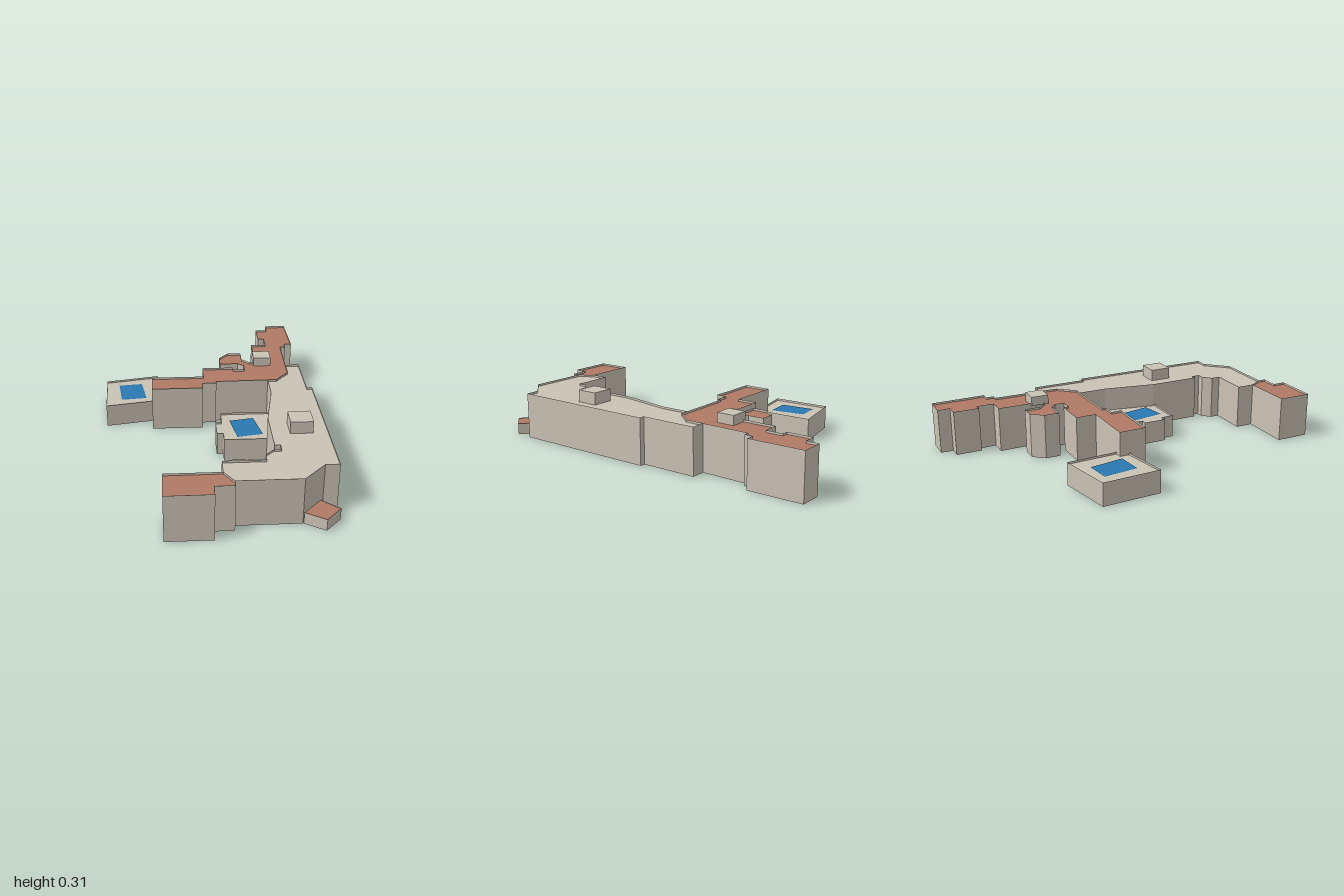
import * as THREE from 'three';

const mat = (name, color, side = THREE.DoubleSide) => {
  const m = new THREE.MeshStandardMaterial({ color, side });
  m.name = name;
  return m;
};

// Flat horizontal polygon at height y from an [x, z] outline
function flat(points, y) {
  const shape = new THREE.Shape(points.map(([x, z]) => new THREE.Vector2(x, -z)));
  return new THREE.ShapeGeometry(shape).rotateX(-Math.PI / 2).translate(0, y, 0);
}

// Open wall strip following a closed [x, z] outline, facing outwards
function wallStrip(points, height) {
  const outline = points.map(([x, z]) => new THREE.Vector2(x, -z));
  if (THREE.ShapeUtils.isClockWise(outline)) outline.reverse();
  const pos = [];
  outline.forEach((a, i) => {
    const b = outline[(i + 1) % outline.length];
    const quad = [[a, 0], [b, 0], [b, height], [a, 0], [b, height], [a, height]];
    for (const [p, y] of quad) pos.push(p.x, y, -p.y);
  });
  const g = new THREE.BufferGeometry();
  g.setAttribute('position', new THREE.Float32BufferAttribute(pos, 3));
  g.computeVertexNormals();
  return g;
}

export function createModel() {
  const group = new THREE.Group();
  const wall = mat('wall beige', 0xcbc2b5);
  const stone = mat('roof beige', 0xc9c3b4);
  const clay = mat('roof terracotta', 0xb07a66);
  const water = mat('skylight blue', 0x2a78b2);

  const add = (name, geometry, material, parent = group) => {
    const m = new THREE.Mesh(geometry, material);
    m.name = name;
    parent.add(m);
  };

  const TALL = 0.255, LOW = 0.13, PARAPET = 0.012;

  // Hollow block: walls rising slightly above a recessed roof
  const block = (name, points, height, roofMat, parapet = PARAPET) => {
    const g = new THREE.Group();
    g.name = name;
    add(name + 'Walls', wallStrip(points, height), wall, g);
    add(name + 'Roof', flat(points, height - parapet), roofMat, g);
    group.add(g);
  };

  // Long main wing
  block('mainWing', [
    [0.48, -0.38], [0.56, -0.38], [0.56, -0.065], [0.59, -0.065], [0.59, 0.77],
    [0.515, 0.77], [0.40, 0.89], [0.07, 0.89], [0.02, 0.81], [0.02, 0.71],
    [0.24, 0.71], [0.24, 0.66], [0.285, 0.615], [0.325, 0.615], [0.325, 0.57],
    [0.295, 0.57], [0.295, 0.28], [0.35, -0.02], [0.35, -0.18], [0.40, -0.18],
    [0.48, -0.275],
  ], TALL, stone);

  // Stepped back wing with its side arm and bay
  block('backWing', [
    [0.43, -1], [0.555, -1], [0.56, -0.695], [0.515, -0.695], [0.515, -0.65],
    [0.485, -0.65], [0.48, -0.275], [0.40, -0.18], [0.05, -0.175], [0.05, -0.155],
    [-0.03, -0.155], [-0.03, -0.095], [-0.32, -0.095], [-0.32, -0.245], [-0.02, -0.245],
    [-0.02, -0.36], [0.16, -0.36], [0.16, -0.33], [0.23, -0.33], [0.23, -0.385],
    [0.195, -0.415], [0.09, -0.415], [0.09, -0.50], [0.145, -0.565], [0.225, -0.565],
    [0.225, -0.475], [0.27, -0.43], [0.305, -0.43], [0.305, -0.69], [0.395, -0.69],
    [0.395, -0.785], [0.36, -0.785], [0.36, -0.93], [0.43, -0.93],
  ], TALL, clay);

  // Front end wing
  block('frontWing', [
    [-0.27, 0.81], [0.02, 0.81], [0.07, 0.89], [0.07, 0.93], [-0.03, 0.93],
    [-0.03, 1], [-0.27, 1],
  ], TALL, clay);

  // Low pavilions with roof skylights
  block('sidePavilion', [[-0.595, -0.47], [-0.29, -0.53], [-0.28, -0.2], [-0.585, -0.145]], LOW, stone);
  block('courtPavilion', [
    [0.065, -0.02], [0.35, -0.02], [0.295, 0.285], [0.065, 0.285], [0.065, 0.215],
    [0.03, 0.215], [0.03, 0.085], [0.065, 0.085],
  ], LOW, stone);
  const skyY = LOW - PARAPET + 0.004;
  add('sideSkylight', flat([[-0.52, -0.425], [-0.385, -0.44], [-0.355, -0.25], [-0.5, -0.235]], skyY), water);
  add('courtSkylight', flat([[0.11, 0.06], [0.245, 0.035], [0.28, 0.22], [0.14, 0.245]], skyY), water);

  // Corner entrance porch
  block('porch', [[0.5, 0.785], [0.588, 0.865], [0.505, 0.955], [0.405, 0.89]], 0.063, clay, 0.003);

  // Rooftop plant rooms
  const plantRoom = (name, x0, x1, z0, z1, top) => {
    const base = TALL - PARAPET;
    const g = new THREE.BoxGeometry(x1 - x0, top - base, z1 - z0);
    g.translate((x0 + x1) / 2, (top + base) / 2, (z0 + z1) / 2);
    add(name, g, [wall, wall, stone, wall, wall, wall]);
  };
  plantRoom('backPlantRoom', 0.29, 0.392, -0.5, -0.4, 0.295);
  plantRoom('mainPlantRoom', 0.392, 0.513, 0.32, 0.44, 0.31);

  return group;
}
